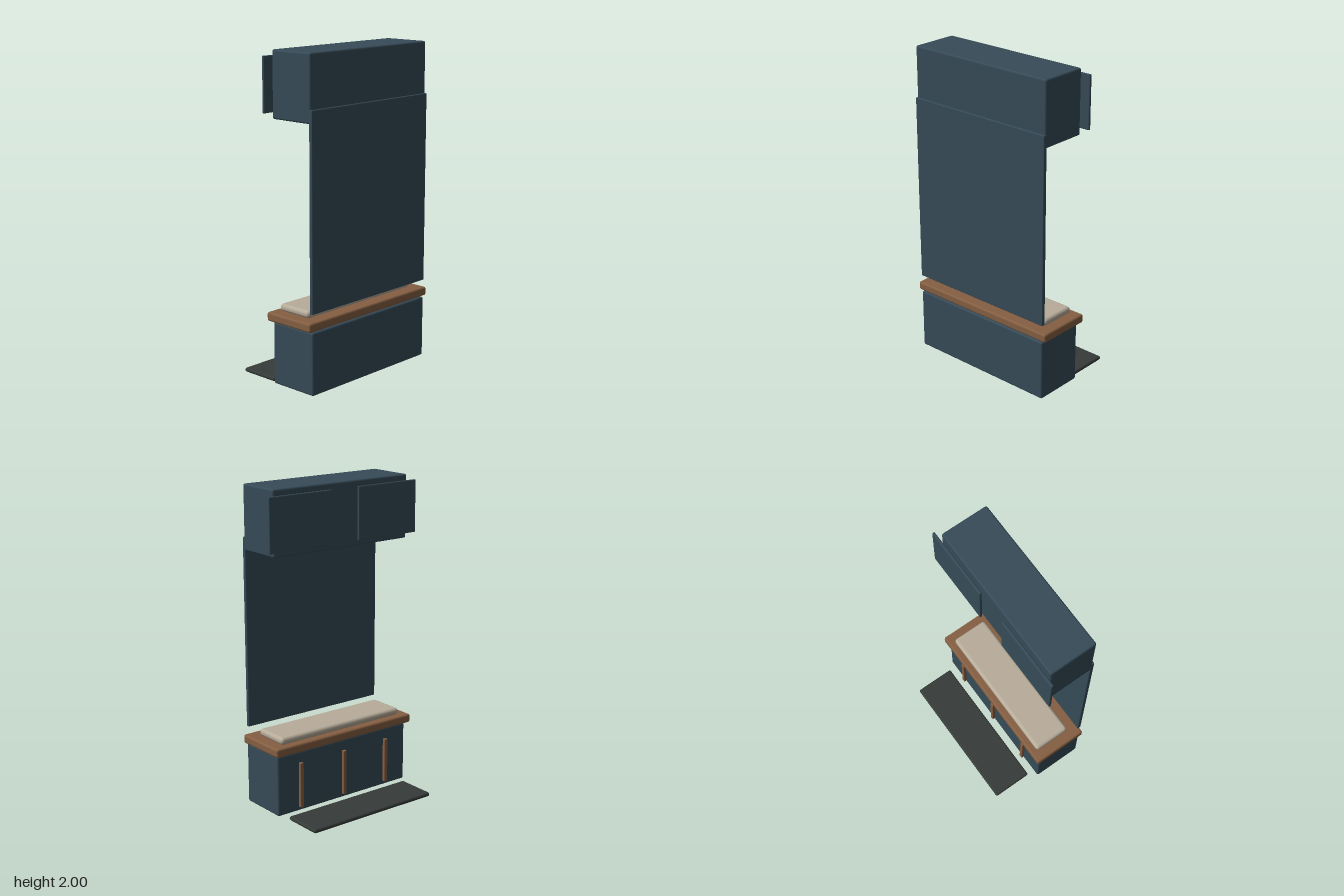
import * as THREE from 'three';
import { RoundedBoxGeometry } from 'three/addons/geometries/RoundedBoxGeometry.js';

export function createModel() {
  const model = new THREE.Group();
  model.name = 'benchCabinet';

  const paint = (name, color) => {
    const m = new THREE.MeshStandardMaterial({ color });
    m.name = name;
    return m;
  };
  const slateBlue = paint('slateBluePaint', 0x364b58);
  const wood = paint('warmWood', 0x855f42);
  const linen = paint('linen', 0xb8ad9b);
  const charcoal = paint('charcoalMat', 0x363c3a);

  // Softly edged box given by its limits on each axis
  const box = (name, material, [x0, x1], [y0, y1], [z0, z1], radius, segments = 2) => {
    const geometry = new RoundedBoxGeometry(x1 - x0, y1 - y0, z1 - z0, segments, radius);
    const mesh = new THREE.Mesh(geometry, material);
    mesh.name = name;
    mesh.position.set((x0 + x1) / 2, (y0 + y1) / 2, (z0 + z1) / 2);
    model.add(mesh);
  };

  // Bench: carcass, wooden top and seat pad
  box('benchBase', slateBlue, [-0.5, 0.5], [0.016, 0.4], [-0.01, 0.312], 0.012);
  box('benchTop', wood, [-0.525, 0.525], [0.405, 0.46], [-0.04, 0.314], 0.013);
  box('seatCushion', linen, [-0.46, 0.46], [0.459, 0.505], [-0.001, 0.239], 0.021, 3);

  // Upright wooden pulls on the back of the bench
  for (const x of [-0.333, 0, 0.333]) {
    box('benchPull', wood, [x - 0.013, x + 0.013], [0.04, 0.33], [-0.03, -0.008], 0.005);
  }

  // Tall panel and the overhead cabinet
  box('tallPanel', slateBlue, [-0.5, 0.5], [0.51, 1.685], [0.288, 0.312], 0.005);
  box('upperCabinet', slateBlue, [-0.5, 0.5], [1.605, 2], [-0.002, 0.299], 0.012);

  // Pair of sliding doors standing just clear of the cabinet
  for (const side of [-1, 1]) {
    const x = side * 0.324;
    box('cabinetDoor', slateBlue, [x - 0.224, x + 0.224], [1.64, 1.965], [-0.032, -0.016], 0.005);
  }

  // Floor mat
  box('floorMat', charcoal, [-0.457, 0.457], [0, 0.026], [-0.315, -0.056], 0.0125);

  return model;
}
